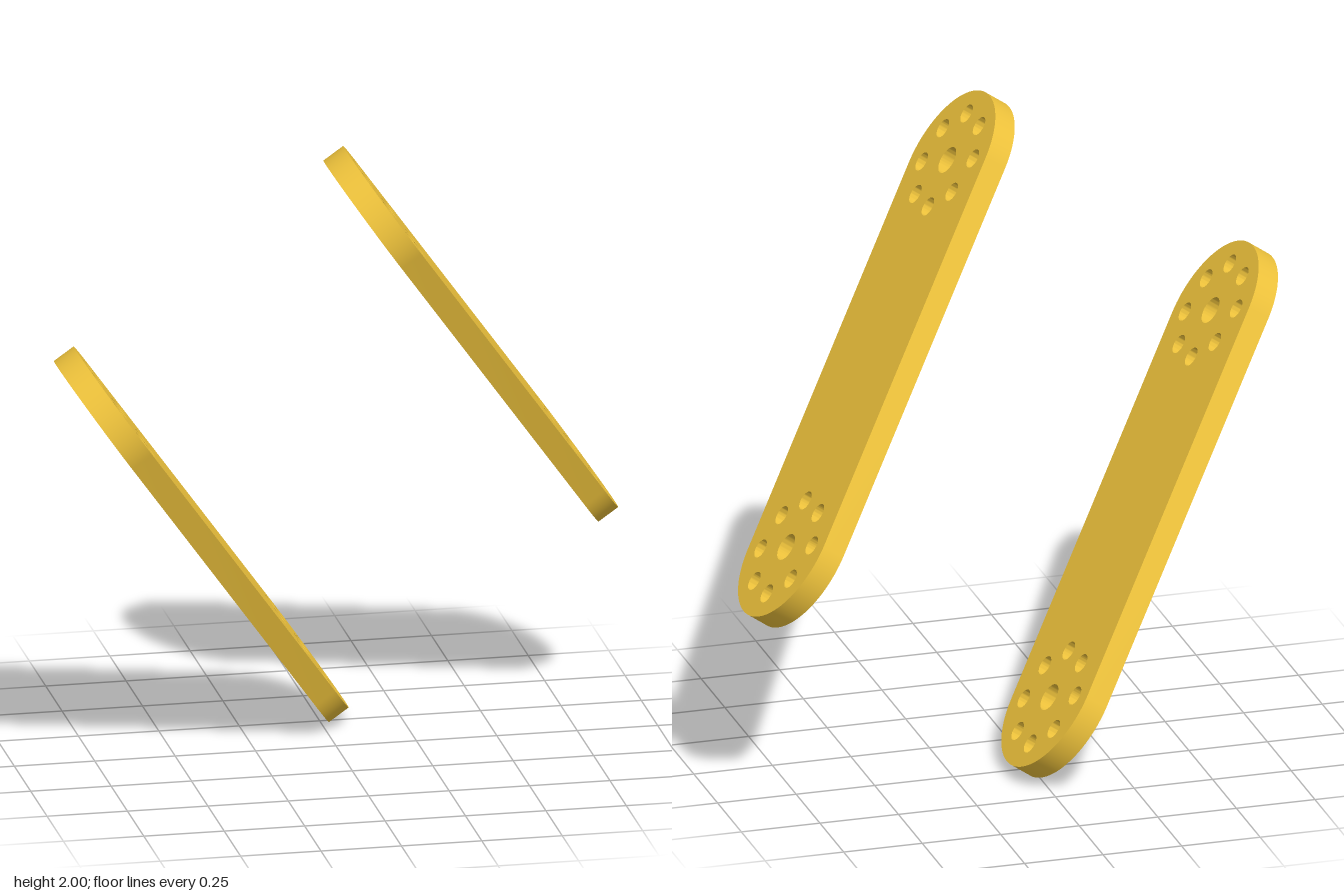
import * as THREE from 'three';
import { toCreasedNormals } from 'three/addons/utils/BufferGeometryUtils.js';

const HALF = 0.658;       // half the distance between the end centres
const RADIUS = 0.237;     // rounded end radius
const THICK = 0.075;
const RING = 0.158;       // bolt circle radius

// Rounded link with a pivot hole and eight bolt holes at each end
function linkGeometry() {
  const shape = new THREE.Shape();
  shape.absarc(HALF, 0, RADIUS, -Math.PI / 2, Math.PI / 2, false);
  shape.absarc(-HALF, 0, RADIUS, Math.PI / 2, Math.PI * 1.5, false);
  shape.closePath();

  const addHole = (x, y, r) => {
    const hole = new THREE.Path();
    hole.absarc(x, y, r, 0, Math.PI * 2, true);
    shape.holes.push(hole);
  };
  for (const end of [-HALF, HALF]) {
    addHole(end, 0, 0.044);
    for (let i = 0; i < 8; i++) {
      const a = (i * Math.PI) / 4;
      addHole(end + RING * Math.cos(a), RING * Math.sin(a), 0.031);
    }
  }
  const geo = new THREE.ExtrudeGeometry(shape, { depth: THICK, bevelEnabled: false, curveSegments: 32 });
  geo.translate(0, 0, -THICK / 2);
  return toCreasedNormals(geo, 0.6);
}

export function createModel() {
  const group = new THREE.Group();
  group.name = 'linkPair';
  const material = new THREE.MeshStandardMaterial({ color: 0xf0c43c });
  const geo = linkGeometry();

  // Shared tilt: long axis, width and face normal of both links
  const normal = new THREE.Vector3(0.821, 0.571, 0).normalize();
  const axis = new THREE.Vector3(-0.571 * 0.9065, 0.821 * 0.9065, 0.4225).normalize();
  const width = new THREE.Vector3().crossVectors(normal, axis);
  const tilt = new THREE.Matrix4().makeBasis(axis, width, normal);

  const links = [['lowerLink', -0.419, 0.706], ['upperLink', 0.419, 1.294]];
  for (const [name, x, y] of links) {
    const link = new THREE.Mesh(geo, material);
    link.name = name;
    link.quaternion.setFromRotationMatrix(tilt);
    link.position.set(x, y, 0);
    group.add(link);
  }
  return group;
}
